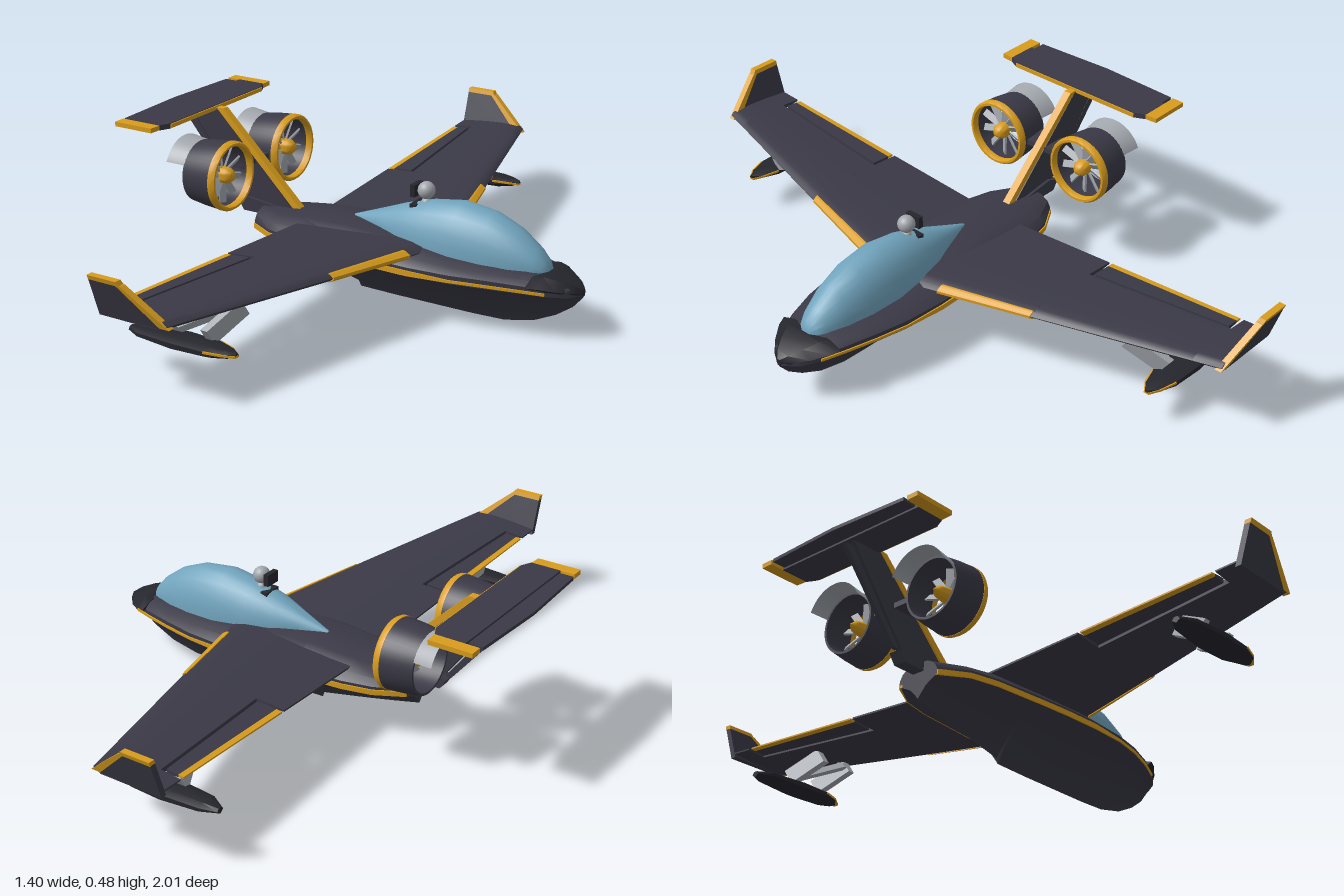
import * as THREE from 'three';
import { toCreasedNormals } from 'three/addons/utils/BufferGeometryUtils.js';

const mat = (name, color, side = THREE.FrontSide) => {
  const m = new THREE.MeshStandardMaterial({ color, side });
  m.name = name;
  return m;
};

// Closed skin through rings of [x, y, z] points, with capped ends, always facing outward
function loft(rings, crease = 0.6) {
  const n = rings[0].length, pos = [], idx = [];
  rings.forEach(r => r.forEach(p => pos.push(...p)));
  for (let i = 0; i < rings.length - 1; i++) for (let j = 0; j < n; j++) {
    const a = i * n + j, b = i * n + (j + 1) % n;
    idx.push(a, b, a + n, b, b + n, a + n);
  }
  [0, rings.length - 1].forEach((k, end) => {
    const c = pos.length / 3;
    for (let d = 0; d < 3; d++) pos.push(rings[k].reduce((s, p) => s + p[d], 0) / n);
    for (let j = 0; j < n; j++) {
      const a = k * n + j, b = k * n + (j + 1) % n;
      end ? idx.push(c, a, b) : idx.push(c, b, a);
    }
  });
  const P = i => new THREE.Vector3().fromArray(pos, i * 3);
  let vol = 0;
  for (let i = 0; i < idx.length; i += 3) vol += P(idx[i]).dot(P(idx[i + 1]).cross(P(idx[i + 2])));
  if (vol < 0) idx.reverse();
  const g = new THREE.BufferGeometry();
  g.setAttribute('position', new THREE.Float32BufferAttribute(pos, 3));
  g.setIndex(idx);
  return toCreasedNormals(g, crease);
}

// Flat plate: points in the xy plane thickened along z, or in xz thickened along y
const plateXY = (pts, t, zAt = () => 0) =>
  loft([-t, t].map(o => pts.map(([x, y]) => [x, y, zAt(y) + o])));
const plateXZ = (pts, y, t) => loft([-t, t].map(o => pts.map(([x, z]) => [x, y + o, z])));

// Hull stations: x, keel y, half width, chine y, shoulder y, deck y
const HULL = [
  [-0.355, 0.09, 0.07, 0.145, 0.165, 0.2], [-0.27, 0.07, 0.12, 0.145, 0.17, 0.205],
  [-0.18, 0.05, 0.14, 0.145, 0.17, 0.215], [-0.025, 0.018, 0.153, 0.145, 0.17, 0.225],
  [-0.02, 0.002, 0.154, 0.145, 0.17, 0.225], [0.1, 0, 0.162, 0.145, 0.17, 0.222],
  [0.23, 0, 0.165, 0.145, 0.17, 0.21], [0.36, 0, 0.155, 0.145, 0.17, 0.2],
  [0.46, 0.003, 0.135, 0.145, 0.17, 0.195], [0.55, 0.022, 0.108, 0.142, 0.165, 0.19],
  [0.62, 0.055, 0.08, 0.137, 0.157, 0.18], [0.67, 0.09, 0.05, 0.133, 0.148, 0.165],
  [0.7, 0.125, 0.01, 0.132, 0.14, 0.15]];

const hullRing = ([x, k, w, c, s, t]) => {
  const h = c - k;
  const half = [[0.12 * w, k + 0.2 * h], [0.42 * w, k + 0.62 * h], [0.75 * w, k + 0.85 * h], [w, c], [w, s],
    [0.85 * w, s + 0.5 * (t - s)], [0.5 * w, s + 0.9 * (t - s)]];
  return [[x, k, 0], ...half.map(([z, y]) => [x, y, z]), [x, t, 0],
    ...half.slice().reverse().map(([z, y]) => [x, y, -z])];
};

// Wing section at span z, between chord fractions f0 (front) and f1 (rear)
const AIRFOIL = [[0, 0.05], [0.03, 0.55], [0.1, 0.85], [0.3, 1], [0.6, 0.75], [1, 0.15]];
const thickness = f => {
  for (let i = 1; i < AIRFOIL.length; i++) {
    const [a, ta] = AIRFOIL[i - 1], [b, tb] = AIRFOIL[i];
    if (f <= b) return ta + (tb - ta) * (f - a) / (b - a);
  }
  return AIRFOIL[5][1];
};
function wingRing(z, s, f0, f1, grow = 0) {
  const front = 0.272 - 0.262 * z, rear = -0.18 - 0.02 * z, mid = 0.192 + 0.05 * z, T = 0.02 - 0.006 * z;
  const up = [], low = [];
  for (let i = 0; i <= 8; i++) {
    const f = f0 + (f1 - f0) * (i / 8) ** 1.6;
    const x = front + (rear - front) * f + (f0 === 0 ? grow * (1 - i / 8) : 0), h = T * thickness(f) + grow;
    up.push([x, mid + h, s * z]);
    low.unshift([x, mid - h, s * z]);
  }
  return [...up, ...low];
}

export function createModel() {
  const dark = mat('charcoal paint', 0x3a3946), yellow = mat('yellow trim', 0xd89c1c);
  const glass = mat('blue canopy', 0x70a3bc), black = mat('black fittings', 0x25252d);
  const grey = mat('grey metal', 0xa3a8ae, THREE.DoubleSide);
  const model = new THREE.Group();
  const add = (name, geo, material, parent = model) => {
    const m = new THREE.Mesh(geo, material);
    m.name = name;
    parent.add(m);
    return m;
  };

  // Hull, nose cap and canopy
  add('hull', loft(HULL.map(hullRing), 0.5), dark);
  const nose = [[0.575, 0.115, 0.148, 0.182], [0.605, 0.102, 0.14, 0.186], [0.65, 0.07, 0.13, 0.175], [0.685, 0.035, 0.127, 0.162], [0.702, 0.008, 0.13, 0.15]];
  add('noseCap', loft(nose.map(([x, w, a, b]) => [[x, a, w * 0.6], [x, (a + b) / 2, w], [x, b, w * 0.6],
    [x, b, -w * 0.6], [x, (a + b) / 2, -w], [x, a, -w * 0.6]])), black);
  const canopy = [[-0.04, 0.225, 0.228, 0.004], [0.05, 0.22, 0.262, 0.035], [0.13, 0.21, 0.293, 0.065],
    [0.22, 0.2, 0.32, 0.085], [0.32, 0.195, 0.335, 0.092], [0.42, 0.19, 0.322, 0.085], [0.5, 0.187, 0.288, 0.07],
    [0.56, 0.185, 0.243, 0.05], [0.585, 0.184, 0.215, 0.035], [0.6, 0.183, 0.19, 0.015]];
  add('canopy', loft(canopy.map(([x, b, t, w]) => {
    const ring = [[x, b - 0.02, -w], [x, b - 0.02, w]];
    for (let i = 0; i <= 14; i++) {
      const a = Math.PI * i / 14;
      ring.push([x, b + (t - b) * Math.sin(a), w * Math.cos(a)]);
    }
    return ring;
  }), 0.9), glass);

  // Sensor ball above the canopy
  const ball = (r, x, y, material) =>
    add('sensorBall', new THREE.SphereGeometry(r, 20, 14), material).position.set(x, y, 0);
  ball(0.026, 0.2, 0.345, grey);
  ball(0.015, 0.2, 0.308, grey);
  for (const [x, y, z, w, h, d] of [[0.167, 0.343, 0, 0.016, 0.036, 0.05], [0.172, 0.297, 0, 0.022, 0.016, 0.06]])
    add('sensorMount', new THREE.BoxGeometry(w, h, d), black).position.set(x, y, z);

  for (const s of [1, -1]) {
    const side = new THREE.Group();
    side.name = s > 0 ? 'nearSide' : 'farSide';
    model.add(side);
    const put = (name, geo, material) => add(name, geo, material, side);

    // Stripe along the chine
    put('hullStripe', loft(HULL.slice(0, -2).map(([x, , w, c, sh]) => {
      const h = x > 0.3 ? 0.004 : 0.008, y = (c + sh) / 2 - 0.004;
      return [[x, y - h, s * (w + 0.004)], [x, y + h, s * (w + 0.004)], [x, y + h, s * (w - 0.01)], [x, y - h, s * (w - 0.01)]];
    })), yellow);

    // Wing in three spans, leaving a slot for the aileron
    for (const [a, b, f] of [[0, 0.43, 1], [0.43, 0.885, 0.735], [0.885, 0.965, 1]])
      put('wing', loft([wingRing(a, s, 0, f), wingRing(b, s, 0, f)]), dark);
    put('aileron', loft([wingRing(0.44, s, 0.765, 0.945), wingRing(0.873, s, 0.775, 0.93)]), dark);
    put('aileronTrim', loft([wingRing(0.44, s, 0.945, 1), wingRing(0.873, s, 0.93, 1)]), yellow);
    put('wingLeadingTrim', loft([wingRing(0.15, s, 0, 0.05, 0.003), wingRing(0.43, s, 0, 0.04, 0.003)]), yellow);

    // Winglet leaning outward
    const lean = y => s * (0.958 + (y - 0.235) * 0.32);
    put('winglet', plateXY([[-0.2, 0.225], [0, 0.225], [-0.005, 0.24], [-0.113, 0.335], [-0.2, 0.335]], 0.009, lean), dark);
    put('wingletFrontTrim', plateXY([[-0.005, 0.232], [0.025, 0.232], [-0.098, 0.336], [-0.114, 0.336]], 0.01, lean), yellow);
    put('wingletTopTrim', plateXY([[-0.2, 0.334], [-0.1, 0.334], [-0.108, 0.347], [-0.2, 0.347]], 0.01, lean), yellow);

    // Wing float with its struts
    const F = [[-0.245, 0.102, 0.012, 0.12], [-0.2, 0.092, 0.034, 0.128], [-0.08, 0.084, 0.044, 0.13],
      [0.02, 0.088, 0.04, 0.129], [0.07, 0.098, 0.026, 0.126], [0.1, 0.112, 0.006, 0.121]];
    const fz = s * 0.79;
    put('float', loft(F.map(([x, k, w, t]) => [[x, k, fz], [x, (k + t) / 2, fz + w], [x, t - 0.008, fz + w],
      [x, t, fz + w * 0.5], [x, t, fz - w * 0.5], [x, t - 0.008, fz - w], [x, (k + t) / 2, fz - w]])), black);
    put('floatTrim', loft(F.slice(3).map(([x, , w, t]) => [[x, t - 0.013, fz + w + 0.002], [x, t - 0.007, fz + w + 0.002],
      [x, t - 0.007, fz - w - 0.002], [x, t - 0.013, fz - w - 0.002]])), yellow);
    // each strut: x at the float, x at the wing, half width of the plank
    for (const [x0, x1, w] of [[-0.11, -0.07, 0.03], [0, 0.04, 0.03], [-0.1, 0.03, 0.012]]) {
      const end = (x, y, z) => [[-1, -1], [1, -1], [1, 1], [-1, 1]].map(([i, j]) =>
        [x + i * 0.011, y + j * w * 0.8, s * (z + j * w * 0.55)]);
      put('floatStrut', loft([end(x0, 0.138, 0.78), end(x1, 0.197, 0.68)]), grey);
    }

    // Ducted fan
    const fan = new THREE.Group();
    fan.name = 'ductedFan';
    fan.position.set(-0.36, 0.33, s * 0.16);
    side.add(fan);
    const lathe = (name, pts, material, n = 40) => {
      const g = new THREE.LatheGeometry(pts.map(p => new THREE.Vector2(...p)), n);
      add(name, toCreasedNormals(g.rotateZ(-Math.PI / 2), 0.7), material, fan);
    };
    lathe('duct', [[0.086, -0.12], [0.093, -0.12], [0.1, -0.07], [0.104, -0.02], [0.09, -0.02], [0.086, -0.12]], dark);
    lathe('ductLip', [[0.09, -0.021], [0.105, -0.021], [0.105, -0.008], [0.1, 0], [0.093, 0], [0.089, -0.008], [0.09, -0.021]], yellow);
    lathe('hub', [[0.001, -0.11], [0.018, -0.09], [0.025, -0.04], [0.024, -0.02], [0.014, -0.005], [0.001, 0]], yellow, 20);
    for (let i = 0; i < 10; i++) {
      const g = new THREE.BoxGeometry(0.006, 0.068, 0.022).rotateY(0.6).translate(-0.045, 0.054, 0);
      add('fanBlade', g.rotateX(i * Math.PI / 5), grey, fan);
    }
    // curved exhaust hood behind the upper half of the duct
    const hood = new THREE.CylinderGeometry(0.101, 0.093, 0.06, 24, 1, true, Math.PI / 2 - 1.15, 2.3);
    add('exhaustHood', hood.rotateZ(Math.PI / 2).translate(-0.147, 0, 0), grey, fan);
    add('enginePylon', new THREE.BoxGeometry(0.08, 0.016, 0.075), dark, side).position.set(-0.43, 0.33, s * 0.035);

    // Stabiliser tips
    put('stabiliserTip', plateXZ([[-0.55, s * 0.262], [-0.552, s * 0.3], [-0.685, s * 0.3], [-0.685, s * 0.262]], 0.476, 0.007), yellow);
  }

  // Fin, rudder and T-tail
  add('fin', plateXY([[-0.25, 0.19], [-0.53, 0.475], [-0.635, 0.475], [-0.44, 0.215], [-0.4, 0.19]], 0.011), dark);
  add('finRoot', plateXY([[-0.3, 0.2], [-0.41, 0.215], [-0.45, 0.2], [-0.43, 0.17], [-0.3, 0.17]], 0.02), dark);
  add('rudder', plateXY([[-0.628, 0.452], [-0.66, 0.452], [-0.46, 0.208], [-0.44, 0.208]], 0.007), dark);
  add('finLeadingTrim', plateXY([[-0.22, 0.2], [-0.505, 0.478], [-0.53, 0.478], [-0.25, 0.2]], 0.012), yellow);
  add('stabiliser', plateXZ([[-0.535, -0.23], [-0.55, -0.262], [-0.642, -0.262], [-0.642, 0.262], [-0.55, 0.262], [-0.535, 0.23]], 0.476, 0.008), dark);
  add('elevator', plateXZ([[-0.645, -0.252], [-0.688, -0.252], [-0.7, 0], [-0.688, 0.252], [-0.645, 0.252]], 0.476, 0.005), dark);
  add('stabiliserTrim', new THREE.BoxGeometry(0.006, 0.012, 0.46), yellow).position.set(-0.534, 0.476, 0);
  return model;
}
